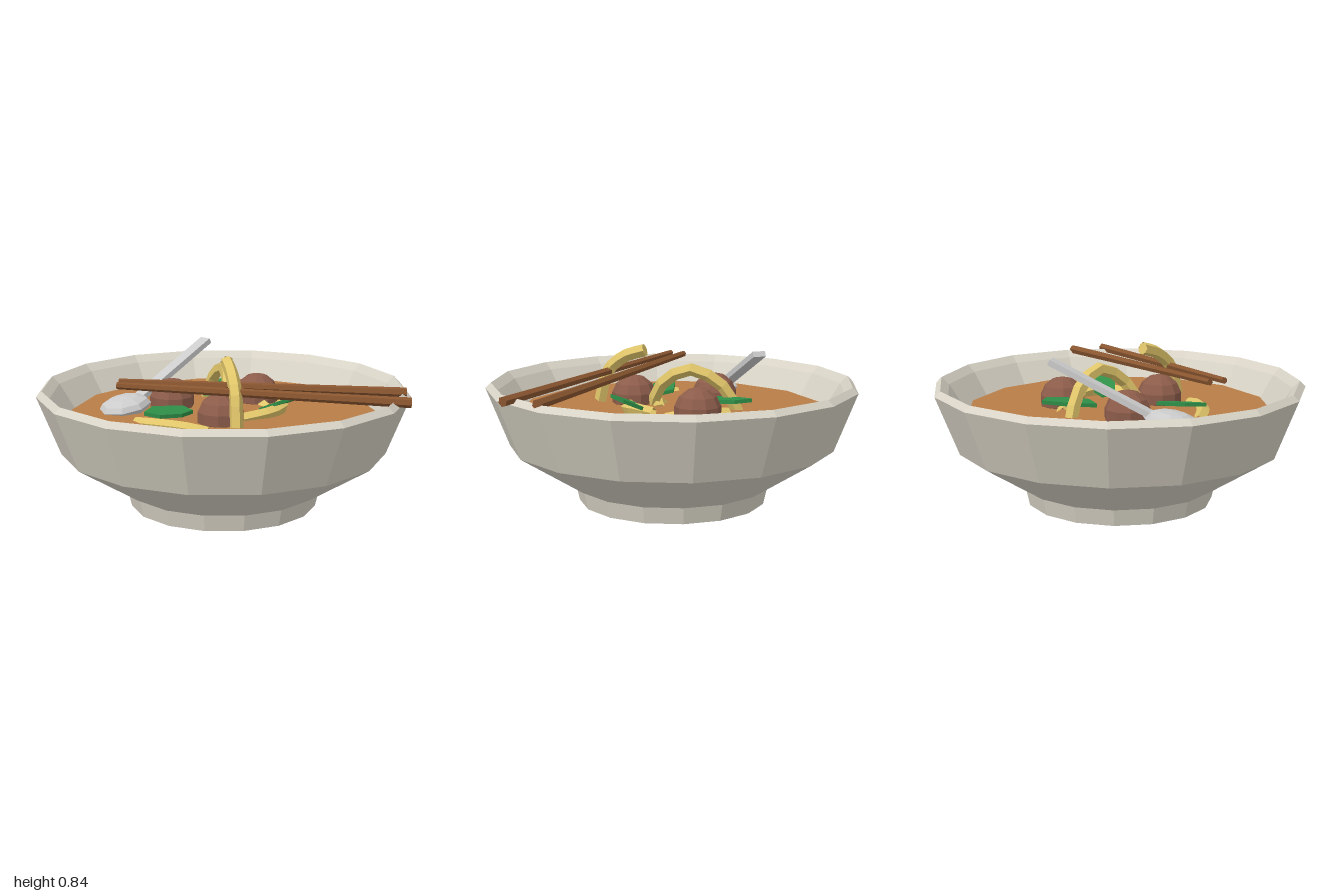
import * as THREE from 'three';

const mat = (color) => new THREE.MeshStandardMaterial({ color, flatShading: true, side: THREE.DoubleSide });
const V = (p) => new THREE.Vector3(...p);

export function createModel() {
  const group = new THREE.Group();
  const ceramic = mat(0xd8d3c6), steel = mat(0xcccccc), broth = mat(0xb87d46);
  const noodle = mat(0xdfc469), meat = mat(0x8c5c4a), green = mat(0x2f8f48), wood = mat(0x8a5630);

  const add = (name, geometry, material, parent = group) => {
    const mesh = new THREE.Mesh(geometry, material);
    mesh.name = name;
    parent.add(mesh);
    return mesh;
  };

  // Bowl: foot, two-stage outer wall, bevelled rim and inner wall in one profile
  const profile = [
    [0, 0], [0.51, 0], [0.53, 0.09], [0.54, 0.095], [0.88, 0.315], [1, 0.63], [0.97, 0.66],
    [0.93, 0.62], [0.83, 0.46], [0.6, 0.25], [0, 0.16],
  ].map(([r, y]) => new THREE.Vector2(r, y));
  add('bowl', new THREE.LatheGeometry(profile, 16), ceramic);

  // Broth surface
  const soup = add('broth', new THREE.CylinderGeometry(0.825, 0.8, 0.04, 14), broth);
  soup.position.y = 0.49;

  // Meatballs
  for (const [x, z] of [[-0.255, -0.17], [0.235, -0.205], [-0.065, 0.24]]) {
    const ball = add('meatball', new THREE.SphereGeometry(0.125, 10, 7), meat);
    ball.position.set(x, 0.54, z);
  }

  // Noodles: short tubes arching out of the broth
  const noodles = [
    [[-0.03, 0.47, -0.37], [0, 0.63, -0.29], [0.03, 0.725, -0.11], [0.01, 0.63, 0.06], [-0.05, 0.47, 0.13]],
    [[-0.02, 0.52, 0.42], [-0.015, 0.69, 0.37], [-0.015, 0.775, 0.27], [-0.015, 0.81, 0.16]],
    [[0.32, 0.53, 0.01], [0.3, 0.54, 0.1], [0.22, 0.53, 0.18], [0.05, 0.51, 0.22]],
    [[-0.49, 0.49, 0.11], [-0.39, 0.51, 0.25], [-0.28, 0.51, 0.33], [-0.16, 0.49, 0.38]],
    [[0.08, 0.5, -0.33], [0.17, 0.51, -0.24], [0.23, 0.51, -0.15], [0.26, 0.49, -0.04]],
    [[-0.1, 0.49, 0.08], [-0.05, 0.52, 0.1], [0.01, 0.49, 0.07]],
  ];
  for (const points of noodles) {
    const curve = new THREE.CatmullRomCurve3(points.map(V));
    add('noodle', new THREE.TubeGeometry(curve, 8, 0.036, 5), noodle);
    // End cap
    const cap = add('noodleEnd', new THREE.CircleGeometry(0.036, 5), noodle);
    cap.position.copy(curve.getPoint(1));
    cap.lookAt(curve.getPoint(1).add(curve.getTangent(1)));
  }

  // Leaves: thin outlines (x, z) sheared to a tilt about their centre
  const leaf = (outline, [cx, cy, cz], tiltX, tiltZ) => {
    const shape = new THREE.Shape(outline.map(([x, z]) => new THREE.Vector2(x - cx, cz - z)));
    const geo = new THREE.ExtrudeGeometry(shape, { depth: 0.02, bevelEnabled: false });
    geo.rotateX(-Math.PI / 2);
    const p = geo.attributes.position;
    for (let i = 0; i < p.count; i++) p.setY(i, p.getY(i) + tiltX * p.getX(i) + tiltZ * p.getZ(i));
    add('leaf', geo, green).position.set(cx, cy, cz);
  };
  leaf([[-0.46, 0.2], [-0.4, 0.1], [-0.23, 0.06], [-0.19, 0.12], [-0.26, 0.19], [-0.38, 0.23]],
    [-0.33, 0.545, 0.14], -0.12, -0.12);
  leaf([[0.17, 0.12], [0.21, 0.06], [0.36, 0.06], [0.44, 0.13], [0.41, 0.21], [0.25, 0.19]],
    [0.31, 0.565, 0.13], 0.27, 0.36);
  leaf([[-0.07, -0.22], [0, -0.36], [0.09, -0.46], [0.15, -0.38], [0.11, -0.27], [0.04, -0.18]],
    [0.05, 0.56, -0.31], 0.05, -0.08);

  // Chopsticks: tapered six-sided rods resting on the rim
  const sticks = [
    [[-0.575, 0.715, 0.1], [0.885, 0.66, 0.41]],
    [[-0.595, 0.715, 0.185], [0.835, 0.655, 0.61]],
  ];
  for (const [a, b] of sticks) {
    const from = V(a), to = V(b);
    const rod = add('chopstick', new THREE.CylinderGeometry(0.027, 0.018, from.distanceTo(to), 6), wood);
    rod.position.copy(from).lerp(to, 0.5);
    rod.quaternion.setFromUnitVectors(new THREE.Vector3(0, 1, 0), to.sub(from).normalize());
  }

  // Spoon: flattened bowl in the broth and a slanted flat handle
  const spoon = new THREE.Group();
  spoon.name = 'spoon';
  group.add(spoon);
  const scoop = add('spoonBowl', new THREE.SphereGeometry(1, 8, 6), steel, spoon);
  scoop.scale.set(0.15, 0.055, 0.13);
  scoop.rotation.set(0, 0.6, 0.15);
  scoop.position.set(-0.52, 0.535, -0.115);
  const base = V([-0.47, 0.545, -0.15]), tip = V([-0.005, 0.815, -0.475]);
  const handle = add('spoonHandle', new THREE.BoxGeometry(0.07, 0.03, base.distanceTo(tip)), steel, spoon);
  handle.position.copy(base).lerp(tip, 0.5);
  handle.lookAt(tip);

  return group;
}
